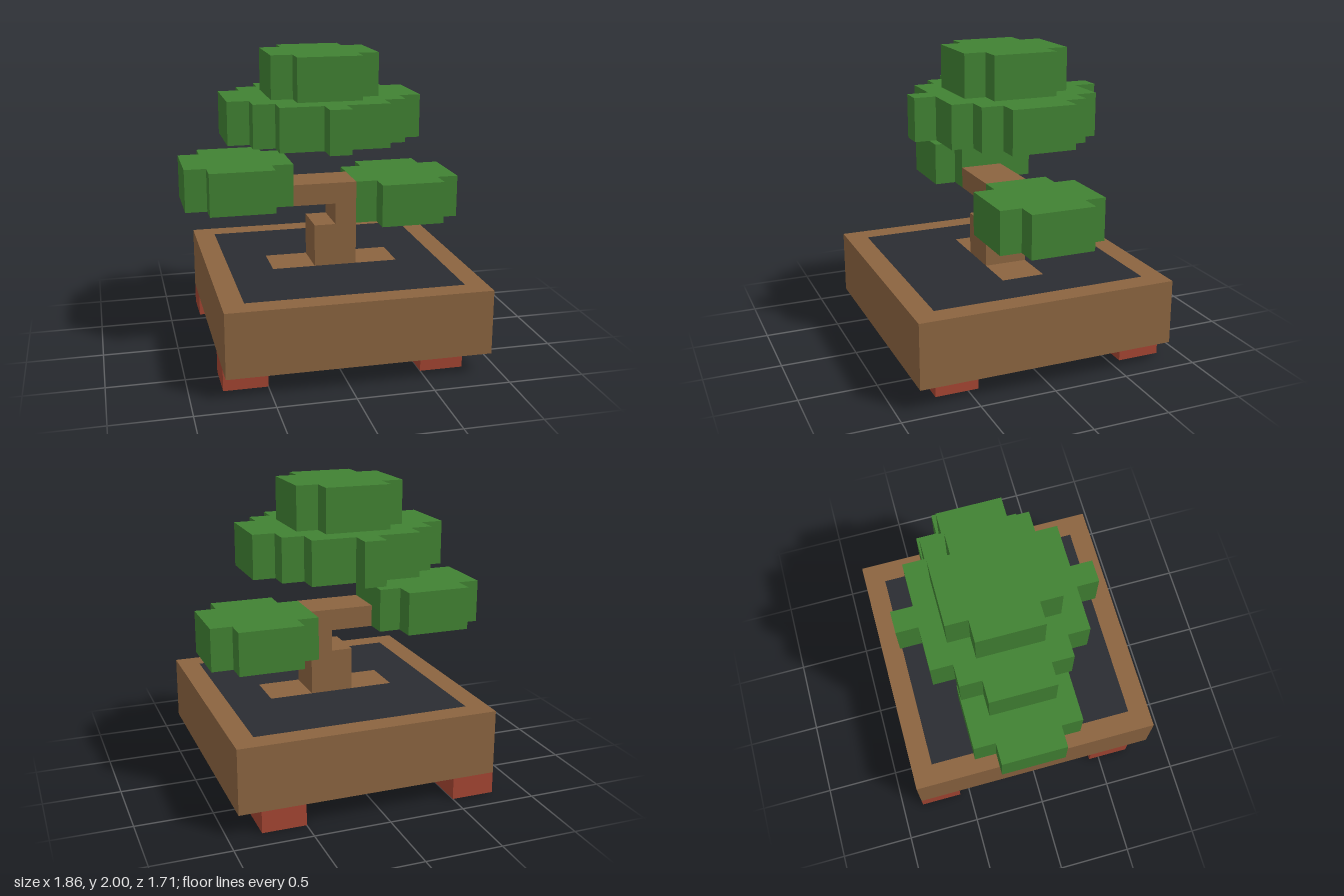
import * as THREE from 'three';

// All measures are in blocks; the whole model is 14 blocks high.
const BLOCK = 1 / 7;

const material = (color) => new THREE.MeshStandardMaterial({ color, flatShading: true });
const wood = material(0x8b6440);
const leaf = material(0x418233);
const clay = material(0xa34532);
const earth = material(0x2a2c32);

function box(name, mat, [x0, x1], [y0, y1], [z0, z1]) {
  const geometry = new THREE.BoxGeometry(x1 - x0, y1 - y0, z1 - z0);
  geometry.translate((x0 + x1) / 2, (y0 + y1) / 2, (z0 + z1) / 2);
  const mesh = new THREE.Mesh(geometry, mat);
  mesh.name = name;
  return mesh;
}

// Upright slab from a plan outline of [x, z] points, with an optional hole.
function slab(name, mat, outline, [y0, y1], hole) {
  const toPoints = (list) => list.map(([x, z]) => new THREE.Vector2(x, -z));
  const shape = new THREE.Shape(toPoints(outline));
  if (hole) shape.holes.push(new THREE.Path(toPoints(hole)));
  const geometry = new THREE.ExtrudeGeometry(shape, { depth: y1 - y0, bevelEnabled: false });
  geometry.rotateX(-Math.PI / 2).translate(0, y0, 0);
  const mesh = new THREE.Mesh(geometry, mat);
  mesh.name = name;
  return mesh;
}

const rect = (x0, x1, z0, z1) => [[x0, z0], [x1, z0], [x1, z1], [x0, z1]];

// Stepped round outline: one quarter of [halfX, halfZ] corners, mirrored twice.
function steppedOutline(steps) {
  const quarter = steps.flatMap(([x, z], i) =>
    i + 1 < steps.length ? [[x, z], [steps[i + 1][0], z]] : [[x, z]]);
  const half = [...quarter, ...quarter.map(([x, z]) => [-x, z]).reverse()];
  return [...half, ...half.map(([x, z]) => [x, -z]).reverse()];
}

function foliage(name, steps, x, yRange) {
  const mesh = slab(name, leaf, steppedOutline(steps), yRange);
  mesh.position.set(x, 0, -0.5);
  return mesh;
}

export function createModel() {
  const model = new THREE.Group();
  model.name = 'bonsaiTree';

  // Planter: base, rim, and soil set flush with the rim around the roots
  const outer = rect(-5.5, 6.5, -6, 6);
  const inner = rect(-4.5, 5.5, -5, 5);
  const rootPlan = rect(-2.5, 3.5, -1, 1);
  model.add(
    box('planterBase', wood, [-5.5, 6.5], [1, 3], [-6, 6]),
    slab('planterRim', wood, outer, [3, 4], inner),
    slab('soil', earth, inner, [3, 4], rootPlan),
    box('roots', wood, [-2.5, 3.5], [3, 4], [-1, 1]),
  );

  // Feet
  for (const x of [-5.5, 3.5]) {
    for (const z of [-6, 3]) {
      model.add(box('foot', clay, [x, x + 2], [0, 1], [z, z + 2]));
    }
  }

  // Crooked trunk
  model.add(
    box('lowerTrunk', wood, [-0.5, 1.5], [4, 6], [-1, 1]),
    box('upperTrunk', wood, [0.5, 1.5], [6, 7], [-1, 1]),
    box('branch', wood, [-1.5, 1.5], [7, 8], [-1, 1]),
  );

  // Foliage
  const small = [[2.5, 1.5], [1.5, 2.5]];
  const large = [[4.5, 1.5], [3.5, 2.5], [2.5, 3.5], [0.5, 4.5]];
  model.add(
    foliage('leftFoliage', small, 4, [6, 8]),
    foliage('rightFoliage', small, -4, [7, 9]),
    foliage('crownFoliage', large, 0, [10, 12]),
    foliage('topFoliage', small, 0, [12, 14]),
  );

  model.scale.setScalar(BLOCK);
  return model;
}
